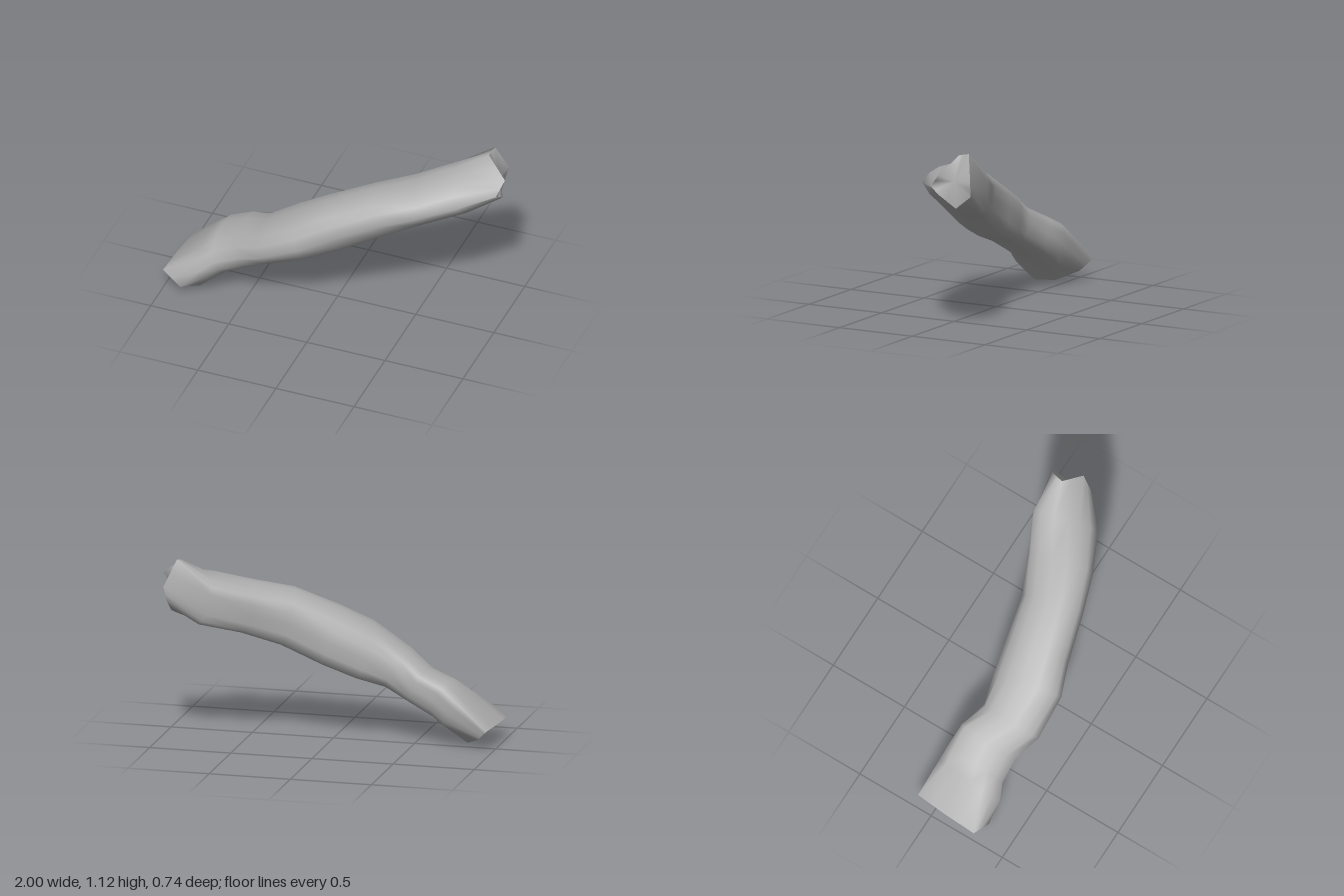
import * as THREE from 'three';

const SIDES = 16;

// Each section: top x, top y, bottom x, bottom y, back z, front z, z shift of top, z shift of bottom
const SECTIONS = [
  [-0.79, 0.325, -0.69, 0.095, -0.09, 0.335, -0.07, 0],
  [-0.71, 0.39, -0.61, 0.155, -0.08, 0.3, -0.07, 0],
  [-0.57, 0.45, -0.46, 0.235, -0.07, 0.3, -0.08, 0],
  [-0.42, 0.54, -0.31, 0.315, -0.015, 0.365, -0.04, -0.05],
  [-0.21, 0.68, -0.12, 0.375, -0.055, 0.365, -0.01, -0.07],
  [-0.02, 0.775, 0.08, 0.455, -0.095, 0.3, 0, -0.06],
  [0.25, 0.89, 0.32, 0.575, -0.13, 0.235, -0.02, -0.07],
  [0.47, 0.94, 0.54, 0.665, -0.225, 0.165, -0.04, -0.09],
  [0.69, 1.01, 0.77, 0.73, -0.325, 0.06, -0.06, -0.11],
];

// End outlines, from the front over the top and round the back
const LOWER_END = [
  [-0.88, 0.055, 0.33], [-1, 0.13, 0.3], [-0.99, 0.13, 0.1], [-0.97, 0.13, -0.11],
  [-0.935, 0.095, -0.08], [-0.9, 0.06, -0.05], [-0.81, 0.01, 0.06], [-0.8, 0, 0.2],
];
const UPPER_END = [
  [0.97, 0.92, -0.11], [1, 1, -0.18], [0.87, 1.105, -0.25], [0.88, 1.12, -0.32],
  [0.95, 0.96, -0.37], [0.93, 0.87, -0.36], [0.93, 0.79, -0.26], [0.99, 0.88, -0.17],
];

const middle = ([xt, yt, xb, yb, zb, zf]) =>
  new THREE.Vector3((xt + xb) / 2, (yt + yb) / 2, (zb + zf) / 2);

// Outline with a point added halfway along each edge
function endRing(outline) {
  const corners = outline.map((p) => new THREE.Vector3(...p));
  return corners.flatMap((p, i) => [p, p.clone().lerp(corners[(i + 1) % corners.length], 0.5)]);
}

// Rounded-oval ring, skewed so that it stays square to the bend of the back
function ring(s, i) {
  const c = middle(s);
  const before = SECTIONS[Math.max(i - 1, 0)];
  const after = SECTIONS[Math.min(i + 1, SECTIONS.length - 1)];
  const skew = THREE.MathUtils.clamp((before[4] - after[4]) / (after[0] - before[0]), -0.1, 0.25);
  const soft = (v) => Math.sign(v) * Math.abs(v) ** 0.85;
  const points = [];
  for (let j = 0; j < SIDES; j++) {
    const a = (j / SIDES) * Math.PI * 2;
    const side = soft(Math.cos(a)) * (s[5] - s[4]) / 2;
    const up = soft(Math.sin(a));
    const lean = up > 0 ? s[6] * up : -s[7] * up;
    points.push(new THREE.Vector3(
      c.x + up * (s[0] - s[2]) / 2 + side * skew,
      c.y + up * (s[1] - s[3]) / 2 + side * skew * 0.4,
      THREE.MathUtils.clamp(c.z + side + lean, s[4], s[5])
    ));
  }
  return points;
}

function build(points, index) {
  const g = new THREE.BufferGeometry().setFromPoints(points);
  g.setIndex(index);
  g.computeVertexNormals();
  return g;
}

// Fan closing a ring; facing is 1 for the lower end and -1 for the upper
function cap(points, facing) {
  const centre = new THREE.Vector3();
  points.forEach((p) => centre.addScaledVector(p, 1 / SIDES));
  const index = [];
  for (let j = 0; j < SIDES; j++) {
    const k = (j + 1) % SIDES;
    index.push(SIDES, ...(facing > 0 ? [j, k] : [k, j]));
  }
  return build([...points, centre], index);
}

export function createModel() {
  const group = new THREE.Group();
  group.name = 'bentTube';
  const grey = new THREE.MeshStandardMaterial({ color: 0xb0b0b0, side: THREE.DoubleSide });
  grey.name = 'grey';
  const add = (name, geometry) => {
    const mesh = new THREE.Mesh(geometry, grey);
    mesh.name = name;
    group.add(mesh);
  };

  // Smooth bent body
  const lower = endRing(LOWER_END);
  const upper = endRing(UPPER_END);
  const rings = [lower, ...SECTIONS.map(ring), upper];
  const index = [];
  for (let i = 0; i < rings.length - 1; i++) {
    for (let j = 0; j < SIDES; j++) {
      const k = (j + 1) % SIDES;
      const a = i * SIDES + j, b = a + SIDES, c = i * SIDES + k, d = c + SIDES;
      index.push(a, b, c, b, d, c);
    }
  }
  add('body', build(rings.flat(), index));

  // Flat ends
  add('lowerEnd', cap(lower, 1));
  add('upperEnd', cap(upper, -1));
  return group;
}
